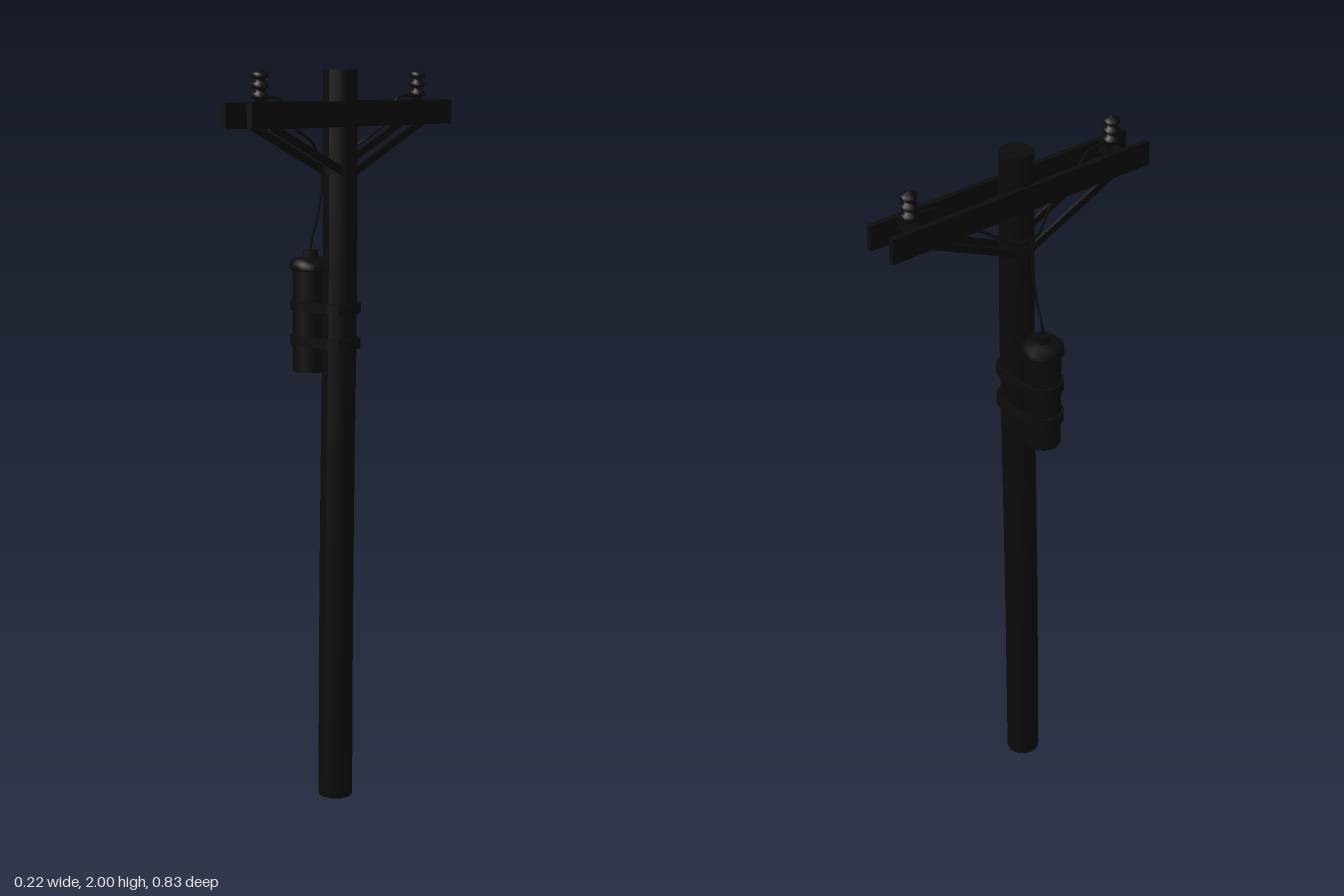
import * as THREE from 'three';

export function createModel() {
  const root = new THREE.Group();
  root.name = 'utilityPole';
  const black = new THREE.MeshStandardMaterial({ color: 0x0b0b0b });
  const X = 0.052, Z = 0.009;   // pole axis near the top
  const tankX = -0.053;

  const add = (geometry, name, x = 0, y = 0, z = 0) => {
    const mesh = new THREE.Mesh(geometry, black);
    mesh.name = name;
    mesh.position.set(x, y, z);
    root.add(mesh);
    return mesh;
  };
  const box = (name, w, h, d, x, y, z) => add(new THREE.BoxGeometry(w, h, d), name, x, y, z);
  const lathe = (points, sides) => new THREE.LatheGeometry(points.map(p => new THREE.Vector2(...p)), sides, Math.PI / 2);
  const wire = (name, points) => add(new THREE.TubeGeometry(
    new THREE.CatmullRomCurve3(points.map(p => new THREE.Vector3(...p)), false, 'centripetal'), 20, 0.004, 5), name);

  // Slightly crooked wooden pole, leaning forward at the foot
  const pole = new THREE.CylinderGeometry(0.046, 0.048, 2, 12, 8);
  const position = pole.attributes.position;
  for (let i = 0; i < position.count; i++) {
    const y = position.getY(i) + 1;
    const low = Math.max(0, 1 - y / 1.3);
    position.setXYZ(i,
      position.getX(i) + X - 0.004 * Math.sin(Math.min(y, 1.5) * Math.PI / 1.5) * (y < 1.5 ? 1 : 0),
      y,
      position.getZ(i) + Z + 0.018 * low);
  }
  pole.computeVertexNormals();
  add(pole, 'pole');

  // Twin crossarms with their sloping braces
  for (const side of [-1, 1]) {
    box('crossarm', 0.016, 0.066, 0.828, X + side * 0.044, 1.886, 0);
    for (const end of [-1, 1]) {
      const dz = 0.29, dy = 0.126;
      const brace = box('brace', 0.007, 0.02, Math.hypot(dz, dy), X + side * 0.0325, 1.798, Z + end * 0.17);
      brace.rotation.x = -end * Math.atan2(dy, dz);
    }
  }
  add(new THREE.CylinderGeometry(0.049, 0.049, 0.022, 12), 'braceCollar', X, 1.74, Z);

  // Ribbed insulators on short bars between the arms
  const ribs = [[0, 1.915], [0.013, 1.915]];
  for (let i = 0; i < 3; i++) {
    const y = 1.927 + i * 0.025;
    ribs.push([0.013, y], [0.022, y + 0.004], [0.022, y + 0.013], [0.013, y + 0.018]);
  }
  ribs.push([0, 2]);
  for (const end of [-1, 1]) {
    box('insulatorBar', 0.076, 0.03, 0.016, X, 1.903, end * 0.325);
    add(lathe(ribs, 10), 'insulator', X - 0.001, 0, end * 0.325);
  }

  // Transformer: tank, overhanging lid and top bushing
  add(lathe([[0, 1.19], [0.049, 1.19], [0.049, 1.19], [0.049, 1.47], [0.049, 1.47]], 10), 'transformerTank', tankX, 0, Z);
  add(lathe([[0.047, 1.465], [0.057, 1.468], [0.057, 1.485], [0.047, 1.499], [0, 1.503]], 10), 'transformerLid', tankX, 0, Z);
  add(new THREE.CylinderGeometry(0.02, 0.022, 0.022, 8), 'bushing', tankX, 1.51, Z);

  // Straps looping around the tank and the pole
  const loop = (path, r) => {
    path.absarc(X, 0, r, -Math.PI / 2, Math.PI / 2, false);
    path.absarc(tankX, 0, r, Math.PI / 2, Math.PI * 1.5, false);
    path.closePath();
    return path;
  };
  const strapShape = loop(new THREE.Shape(), 0.056);
  strapShape.holes.push(loop(new THREE.Path(), 0.047));
  for (const y of [1.277, 1.372]) {
    const strap = new THREE.ExtrudeGeometry(strapShape, { depth: 0.026, bevelEnabled: false, curveSegments: 5 });
    strap.rotateX(-Math.PI / 2);
    add(strap, 'strap', 0, y - 0.013, Z);
  }

  // Wires from each insulator to the pole, then down to the bushing
  for (const end of [-1, 1]) {
    const z = d => Z * (1 - d / 0.32) + end * d;
    wire('insulatorWire', [
      [X, 1.93, z(0.315)], [0.05, 1.924, z(0.24)], [0.048, 1.855, z(0.185)], [0.045, 1.815, z(0.11)],
      [0.02, 1.785, z(0.06)], [0.003, 1.775, z(0.03)], [-0.002, 1.775, Z],
    ]);
  }
  wire('dropWire', [
    [0.004, 1.79, Z - 0.015], [-0.003, 1.775, Z], [-0.012, 1.69, Z], [-0.03, 1.6, Z], [-0.049, 1.545, Z], [tankX, 1.515, Z],
  ]);

  return root;
}
